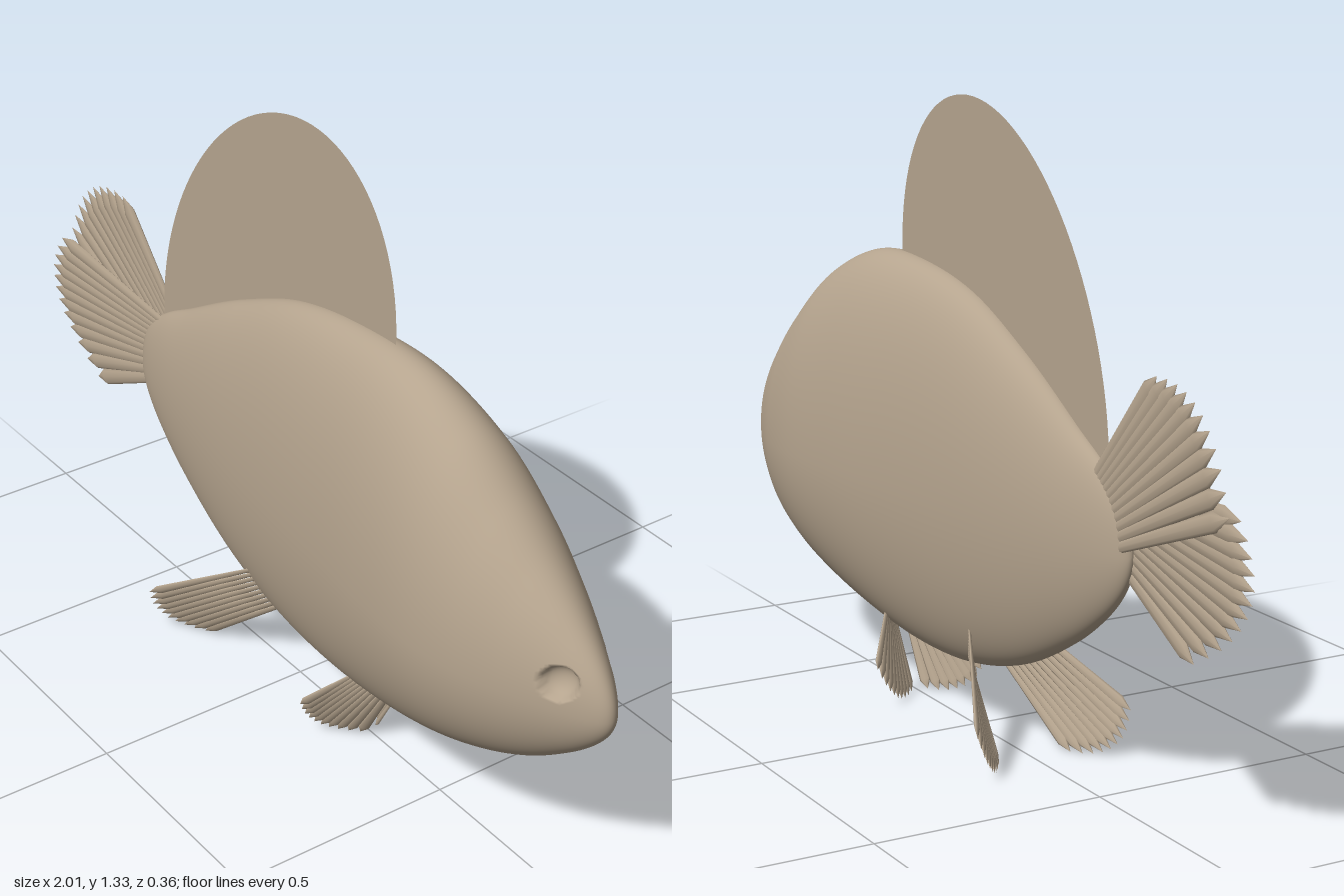
import * as THREE from 'three';

const skin = new THREE.MeshStandardMaterial({ color: 0xb5a48e });
const finSkin = new THREE.MeshStandardMaterial({ color: 0xb5a48e, side: THREE.DoubleSide });
const V = (x, y, z) => new THREE.Vector3(x, y, z);

// Body stations from tail to nose: x, top, bottom, half width
const stations = [
  [-0.606, 0.53, 0.53, 0], [-0.585, 0.615, 0.46, 0.02], [-0.5, 0.69, 0.37, 0.045],
  [-0.4, 0.745, 0.3, 0.065], [-0.2, 0.855, 0.2, 0.095], [0, 0.94, 0.15, 0.117],
  [0.2, 0.978, 0.142, 0.137], [0.4, 0.98, 0.168, 0.158], [0.57, 0.92, 0.21, 0.167],
  [0.7, 0.825, 0.255, 0.15], [0.8, 0.742, 0.302, 0.118], [0.9, 0.655, 0.37, 0.074],
  [0.97, 0.58, 0.435, 0.036], [1, 0.5, 0.5, 0],
];
const MID = 0.197, HALF = 0.803;
const toAngle = (x) => Math.PI - Math.acos(THREE.MathUtils.clamp((x - MID) / HALF, -1, 1));
const knots = stations.map((s) => toAngle(s[0]));

// Smooth interpolation of one station column, rounded at both ends
function profile(t, col) {
  const last = knots.length - 1;
  let k = 0;
  while (k < last - 1 && t > knots[k + 1]) k++;
  const slope = (i) => {
    const a = Math.max(i - 1, 0), b = Math.min(i + 1, last);
    return (stations[b][col] - stations[a][col]) / (knots[b] - knots[a]);
  };
  const h = knots[k + 1] - knots[k], u = (t - knots[k]) / h, u2 = u * u, u3 = u2 * u;
  return (2 * u3 - 3 * u2 + 1) * stations[k][col] + (u3 - 2 * u2 + u) * h * slope(k)
    + (3 * u2 - 2 * u3) * stations[k + 1][col] + (u3 - u2) * h * slope(k + 1);
}

// Lofted body with a shallow round eye socket pressed into each side of the head
function bodyGeometry() {
  const rows = 210, cols = 160, pos = [], index = [];
  const eyeX = 0.912, eyeY = 0.56, eyeR = 0.034;
  for (let i = 0; i <= rows; i++) {
    const t = (i / rows) * Math.PI;
    let x0 = MID - HALF * Math.cos(t);
    const top = profile(t, 1), bottom = profile(t, 2), w = Math.max(profile(t, 3), 0);
    const mid = THREE.MathUtils.clamp(0.525 - 0.0156 * (x0 + 0.6), bottom, top);
    for (let j = 0; j < cols; j++) {
      const a = (j / cols) * Math.PI * 2, s = Math.sin(a);
      const y = mid + s * (s > 0 ? top - mid : mid - bottom);
      let x = x0, z = w * Math.cos(a);
      const d = Math.hypot(x - eyeX, y - eyeY) / eyeR;
      if (d < 1) {
        const depth = 0.028 * Math.sqrt(1 - d * d);
        x -= depth * 0.45;
        z -= Math.sign(z) * depth * 0.9;
      }
      pos.push(x, y, z);
      if (i < rows) {
        const n = (j + 1) % cols, p = i * cols, q = p + cols;
        index.push(p + j, q + j, q + n, p + j, q + n, p + n);
      }
    }
  }
  const g = new THREE.BufferGeometry();
  g.setAttribute('position', new THREE.Float32BufferAttribute(pos, 3));
  g.setIndex(index);
  g.computeVertexNormals();
  return g;
}

// Fin ray: slim at the root, widening to a short pointed end
const rayGeometry = new THREE.LatheGeometry(
  [[0, 0], [0.45, 0], [1, 0.9], [0, 1]].map(([r, y]) => new THREE.Vector2(r, y)), 8);

// Fan of rays from a root line to a curved row of tips (first, middle, last)
function fan(name, roots, tips, count, radius) {
  const group = new THREE.Group();
  group.name = name;
  const [a, m, b] = tips;
  const normal = m.clone().sub(roots[0]).cross(b.clone().sub(a)).normalize();
  for (let i = 0; i < count; i++) {
    const u = i / (count - 1);
    const root = roots[0].clone().lerp(roots[1], u);
    const tip = a.clone().multiplyScalar((1 - u) * (1 - 2 * u))
      .addScaledVector(m, 4 * u * (1 - u)).addScaledVector(b, u * (2 * u - 1));
    const dir = tip.sub(root), length = dir.length();
    dir.normalize();
    const side = dir.clone().cross(normal).normalize();
    const ray = new THREE.Mesh(rayGeometry, finSkin);
    ray.name = 'finRay';
    ray.quaternion.setFromRotationMatrix(
      new THREE.Matrix4().makeBasis(side, dir, side.clone().cross(dir)));
    ray.position.copy(root);
    ray.scale.set(radius, length, radius * 0.4);
    group.add(ray);
  }
  return group;
}

export function createModel() {
  const model = new THREE.Group();
  model.name = 'fish';

  const body = new THREE.Mesh(bodyGeometry(), skin);
  body.name = 'body';
  model.add(body);

  // Back fin: flat slanted oval, its lower part sunk in the body
  const outline = [];
  for (let i = 0; i < 96; i++) {
    const t = (i / 96) * Math.PI * 2;
    outline.push(new THREE.Vector2(-0.1 + 0.42 * Math.cos(t), 0.84 + 0.505 * Math.sin(t + 0.32)));
  }
  const backFin = new THREE.Mesh(new THREE.ShapeGeometry(new THREE.Shape(outline)), finSkin);
  backFin.name = 'backFin';
  model.add(backFin);

  // Tail: two crossing fans
  model.add(fan('tailUpper', [V(-0.44, 0.6, -0.018), V(-0.47, 0.5, -0.018)],
    [V(-0.69, 0.895, -0.006), V(-0.84, 0.85, -0.004), V(-0.93, 0.68, -0.004)], 11, 0.02));
  model.add(fan('tailLower', [V(-0.43, 0.66, 0.012), V(-0.43, 0.56, 0.012)],
    [V(-0.96, 0.68, 0), V(-0.995, 0.52, 0), V(-0.82, 0.375, 0)], 12, 0.02));

  // Paired fins under the belly
  for (const s of [1, -1]) {
    const side = s > 0 ? 'Left' : 'Right';
    model.add(fan('rearFin' + side, [V(-0.08, 0.265, 0.06 * s), V(-0.01, 0.2, 0.03 * s)],
      [V(-0.33, 0.11, 0.18 * s), V(-0.325, 0.035, 0.145 * s), V(-0.25, 0.012, 0.085 * s)], 10, 0.012));
    model.add(fan('frontFin' + side, [V(0.3, 0.22, 0.05 * s), V(0.36, 0.2, 0.015 * s)],
      [V(0.19, 0.1, 0.135 * s), V(0.19, 0.03, 0.09 * s), V(0.25, 0.014, 0.02 * s)], 10, 0.012));
  }
  return model;
}
